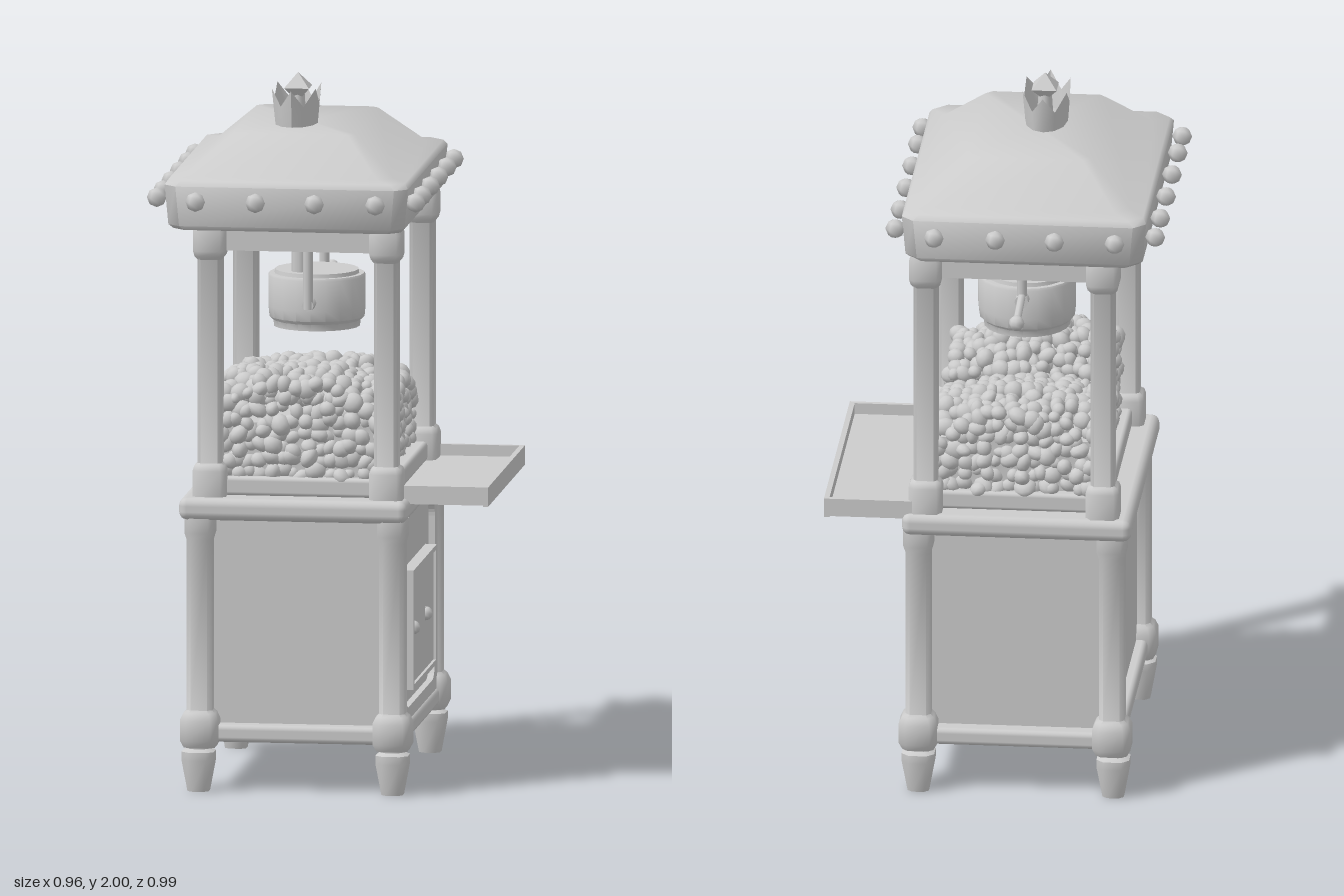
import * as THREE from 'three';
import { mergeGeometries, toCreasedNormals } from 'three/addons/utils/BufferGeometryUtils.js';
import { RoundedBoxGeometry } from 'three/addons/geometries/RoundedBoxGeometry.js';

const grey = new THREE.MeshStandardMaterial({ color: 0xcccccc, side: THREE.DoubleSide });
grey.name = 'plain grey';

// Closed solid through chamfered rectangles, each [y, halfX, halfZ, chamfer]
function loft(rings) {
  const pos = [], idx = [];
  for (const [y, a, b, c] of rings) {
    for (const [x, z] of [[a, -b + c], [a, b - c], [a - c, b], [c - a, b], [-a, b - c], [-a, c - b], [c - a, -b], [a - c, -b]]) pos.push(x, y, z);
  }
  const n = rings.length, last = (n - 1) * 8;
  pos.push(0, rings[0][0], 0, 0, rings[n - 1][0], 0);
  for (let i = 0; i < 8; i++) {
    const j = (i + 1) % 8;
    for (let r = 0; r < n - 1; r++) {
      const p = r * 8 + i, q = r * 8 + j;
      idx.push(p, p + 8, q, q, p + 8, q + 8);
    }
    idx.push(n * 8, i, j, n * 8 + 1, last + j, last + i);
  }
  const g = new THREE.BufferGeometry();
  g.setAttribute('position', new THREE.Float32BufferAttribute(pos, 3));
  g.setIndex(idx);
  return toCreasedNormals(g, 0.95);
}

// Square post with softened corners from [halfWidth, y] pairs
const squarePost = (pts, soft) => loft(pts.map(([w, y]) => [y, w, w, w * soft]));

export function createModel() {
  const model = new THREE.Group();
  const add = (name, geo, x = 0, y = 0, z = 0) => {
    const m = new THREE.Mesh(geo, grey);
    m.name = name;
    m.position.set(x, y, z);
    model.add(m);
    return m;
  };
  const box = (name, x0, x1, y0, y1, z0, z1, r = 0) => add(name,
    r ? new RoundedBoxGeometry(x1 - x0, y1 - y0, z1 - z0, 2, r) : new THREE.BoxGeometry(x1 - x0, y1 - y0, z1 - z0),
    (x0 + x1) / 2, (y0 + y1) / 2, (z0 + z1) / 2);
  const rod = (name, a, b, r) => {
    const d = new THREE.Vector3().subVectors(b, a);
    const m = add(name, new THREE.CylinderGeometry(r, r, d.length(), 8));
    m.position.addVectors(a, b).multiplyScalar(0.5);
    m.quaternion.setFromUnitVectors(new THREE.Vector3(0, 1, 0), d.normalize());
  };

  // Lower cabinet
  box('cabinetBody', -0.33, 0.222, 0.17, 0.8, -0.37, 0.37);
  box('cabinetBase', -0.362, 0.248, 0.145, 0.195, -0.415, 0.415, 0.015);
  box('counter', -0.388, 0.26, 0.778, 0.842, -0.44, 0.443, 0.024);
  box('caseSill', -0.32, 0.215, 0.84, 0.895, -0.375, 0.37, 0.012);

  // Feet, corner posts and case columns
  const foot = squarePost([[0.03, 0.005], [0.046, 0.095], [0.046, 0.118], [0.03, 0.126], [0.03, 0.15]], 0.45);
  const post = squarePost([[0.044, 0.13], [0.054, 0.15], [0.054, 0.208], [0.045, 0.228], [0.036, 0.236],
    [0.036, 0.72], [0.042, 0.74], [0.042, 0.79]], 0.36);
  const column = squarePost([[0.047, 0.83], [0.047, 0.915], [0.042, 0.93], [0.034, 0.936], [0.034, 1.515],
    [0.042, 1.525], [0.046, 1.54], [0.046, 1.595], [0.04, 1.62]], 0.3);
  for (const sx of [-1, 1]) for (const sz of [-1, 1]) {
    add('foot', foot, -0.06 + sx * 0.275, 0, 0.003 + sz * 0.393);
    add('cornerPost', post, -0.058 + sx * 0.273, 0, 0.003 + sz * 0.388);
    add('caseColumn', column, -0.055 + sx * 0.25, 0, -0.004 + sz * 0.373);
  }
  for (const z of [-0.375, 0.368]) box('caseHeader', -0.28, 0.17, 1.54, 1.62, z - 0.012, z + 0.012);

  // Raised surround with a round-cornered opening
  const surround = new THREE.Shape([[-0.36, 0.19], [0.36, 0.19], [0.36, 0.78], [-0.36, 0.78]].map(p => new THREE.Vector2(...p)));
  const opening = new THREE.Path();
  opening.absarc(0.25, 0.69, 0.05, 0, Math.PI / 2);
  opening.absarc(-0.25, 0.69, 0.05, Math.PI / 2, Math.PI);
  opening.absarc(-0.25, 0.28, 0.05, Math.PI, Math.PI * 1.5);
  opening.absarc(0.25, 0.28, 0.05, Math.PI * 1.5, Math.PI * 2);
  surround.holes.push(opening);
  add('doorSurround', new THREE.ExtrudeGeometry(surround, { depth: 0.02, bevelEnabled: false, curveSegments: 4 }).rotateY(Math.PI / 2), 0.22);

  // Door with frame and knobs on the left side
  box('doorPanel', 0.22, 0.247, 0.29, 0.61, -0.22, 0.24);
  for (const y of [0.28, 0.606]) box('doorFrame', 0.22, 0.255, y, y + 0.014, -0.232, 0.254);
  for (const z of [-0.232, 0.24]) box('doorFrame', 0.22, 0.255, 0.28, 0.62, z, z + 0.014);
  for (const z of [-0.058, 0.2]) add('doorKnob', new THREE.SphereGeometry(0.02, 8, 6), 0.247, 0.45, z);

  // Serving tray
  box('trayFloor', 0.24, 0.475, 0.825, 0.845, -0.415, 0.35);
  box('trayOuterRim', 0.465, 0.48, 0.822, 0.877, -0.42, 0.355);
  for (const z of [-0.42, 0.341]) box('trayEndRim', 0.22, 0.48, 0.825, 0.877, z, z + 0.014);

  // Popcorn heap: a core covered with small lumps
  let seed = 7;
  const rand = () => (seed = (seed * 16807) % 2147483647) / 2147483647;
  const step = THREE.MathUtils.smoothstep;
  const top = (x, z) => {
    const ex = step(Math.abs(x + 0.055), 0.1, 0.22), ez = step(Math.abs(z), 0.22, 0.36);
    const dip = 0.05 * Math.exp(-(((z + 0.03) / 0.07) ** 2));
    return 1.13 + 0.035 * step(z, -0.05, 0.2) - dip - 0.05 * ex * ez - 0.015 * ez - 0.012 * ex - 0.02 * step(x, 0, 0.13);
  };
  box('popcornCore', -0.267, 0.158, 0.87, 1.045, -0.345, 0.335);
  const lumps = [];
  const lump = (x, y, z) => {
    const r = 0.02 + rand() * 0.009, j = () => (rand() - 0.5) * 0.022;
    const g = new THREE.IcosahedronGeometry(r, 1);
    g.scale(0.75 + rand() * 0.5, 0.75 + rand() * 0.5, 0.75 + rand() * 0.5);
    g.rotateX(rand() * 3).rotateZ(rand() * 3);
    lumps.push(g.translate(x + j(), y + j(), z + j()));
  };
  for (let i = 0; i <= 13; i++) for (let k = 0; k <= 20; k++) {
    const x = -0.265 + i * 0.0324, z = -0.345 + k * 0.034, h = top(x, z);
    lump(x, h, z);
    if (i === 0 || i === 13 || k === 0 || k === 20) {
      for (let y = 0.905; y < h - 0.015; y += 0.036) lump(x, y, z);
    } else if (h > 1.08) lump(x, h - 0.035, z);
  }
  add('popcorn', mergeGeometries(lumps));

  // Kettle, hangers and crank handle
  const kettle = [[0, 1.272], [0.122, 1.272], [0.124, 1.29], [0.135, 1.3], [0.138, 1.33], [0.138, 1.415],
    [0.134, 1.422], [0.12, 1.422], [0.118, 1.433], [0, 1.433]].map(p => new THREE.Vector2(...p));
  add('kettle', toCreasedNormals(new THREE.LatheGeometry(kettle, 20), 0.75), -0.055, 0, -0.01);
  const v = (x, y, z) => new THREE.Vector3(x, y, z);
  rod('kettleShaft', v(-0.095, 1.42, 0.05), v(-0.095, 1.63, 0.05), 0.024);
  rod('frontHanger', v(-0.055, 1.345, 0.178), v(-0.055, 1.63, 0.178), 0.014);
  rod('frontBracket', v(-0.055, 1.355, 0.185), v(-0.055, 1.355, 0.11), 0.017);
  rod('backHanger', v(-0.055, 1.38, -0.165), v(-0.055, 1.63, -0.165), 0.014);
  rod('backBracket', v(-0.055, 1.395, -0.1), v(-0.055, 1.395, -0.18), 0.02);
  rod('crankHandle', v(-0.055, 1.41, -0.165), v(-0.055, 1.39, -0.32), 0.011);
  add('crankKnob', new THREE.SphereGeometry(0.022, 8, 6), -0.055, 1.387, -0.325);

  // Roof
  add('roof', loft([[1.615, 0.28, 0.39, 0.03], [1.605, 0.322, 0.436, 0.035],
    [1.617, 0.335, 0.445, 0.035], [1.73, 0.345, 0.45, 0.035], [1.745, 0.335, 0.438, 0.04],
    [1.75, 0.295, 0.388, 0.04], [1.857, 0.172, 0.263, 0.02]]), -0.084, 0, 0.004);

  // Bulbs around the roof band
  const bulb = new THREE.SphereGeometry(0.028, 6, 4);
  for (const s of [-1, 1]) {
    for (const x of [-0.34, -0.17, -0.003, 0.17]) add('bulb', bulb, x + s * 0.005, 1.69, s * 0.472);
    for (const z of [-0.405, -0.253, -0.08, 0.095, 0.267, 0.4]) add('bulb', bulb, -0.087 + s * 0.367, 1.69, z);
  }

  // Crown with a gem
  const crown = new THREE.CylinderGeometry(1.2, 1, 0.1, 12, 1, true);
  const p = crown.attributes.position;
  for (let i = 0; i <= 12; i++) {
    if (i % 2) p.setXYZ(i, p.getX(i) * 0.9, 0.012, p.getZ(i) * 0.9);
    else p.setY(i, 0.06);
  }
  crown.scale(0.06, 1, 0.1);
  crown.computeVertexNormals();
  add('crown', crown, -0.104, 1.903, 0.055);
  add('crownStem', new THREE.CylinderGeometry(0.018, 0.025, 0.1, 8), -0.1, 1.9, 0.053);
  add('crownGem', new THREE.OctahedronGeometry(0.05, 0).scale(1, 0.84, 1).rotateY(Math.PI / 4), -0.1, 1.958, 0.053);
  return model;
}
